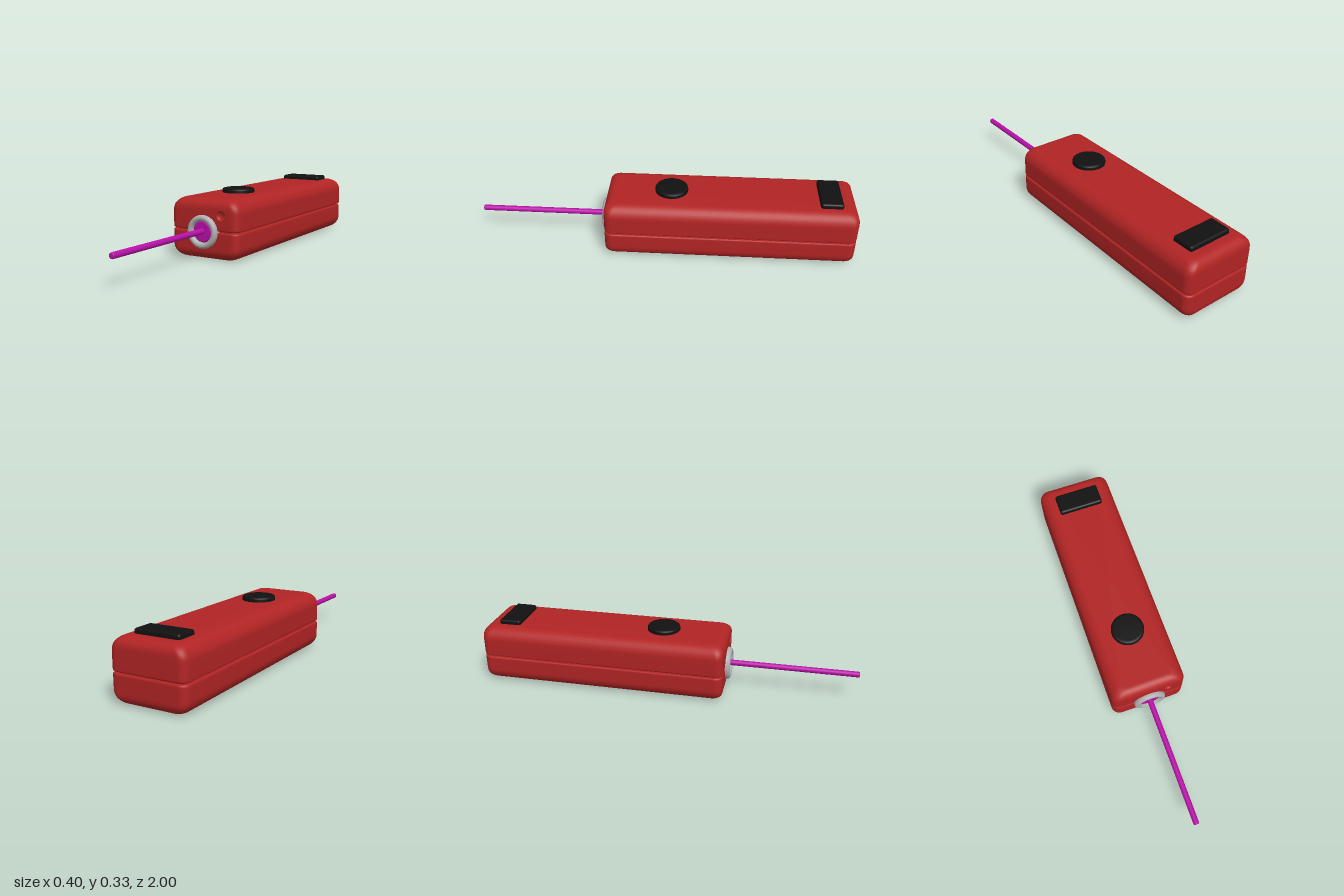
import * as THREE from 'three';
import { RoundedBoxGeometry } from 'three/addons/geometries/RoundedBoxGeometry.js';

const HX = 0.2, HZ = 0.655, CZ = -0.345, TOP = 0.31, FRONT = 0.31, CORNER = 0.04;

const mat = (name, color) => {
  const m = new THREE.MeshStandardMaterial({ color });
  m.name = name;
  return m;
};

// Rounded rectangle in plan, with two extra points on the front edge around the dimple
function planOutline() {
  const pts = [];
  [[1, 1], [-1, 1], [-1, -1], [1, -1]].forEach(([sx, sz], k) => {
    for (let i = 0; i <= 8; i++) {
      const a = (k + i / 8) * Math.PI / 2;
      pts.push([sx * (HX - CORNER) + CORNER * Math.cos(a), sz * (HZ - CORNER) + CORNER * Math.sin(a)]);
    }
    if (k === 0) pts.push([0.14, HZ], [0.07, HZ]);
  });
  return pts;
}

// Stack the outline along rows of [y, inset in x, inset in z]
function loft(rows, flat = false) {
  const outline = planOutline(), n = outline.length, pos = [], all = [], kept = [];
  for (const [y, ix, iz] of rows)
    for (const [x, z] of outline) pos.push(x * (1 - ix / HX), y, CZ + z * (1 - iz / HZ));
  for (let j = 0; j < rows.length - 1; j++)
    for (let i = 0; i < n; i++) {
      const a = j * n + i, b = j * n + (i + 1) % n, c = a + n, d = b + n;
      const quad = [a, c, b, b, c, d];
      all.push(...quad);
      // leave an opening for the dimple plate
      const open = i === 9 && rows[j][0] > 0.199 && rows[j][0] < 0.2595;
      if (!open) kept.push(...quad);
    }
  let g = new THREE.BufferGeometry();
  g.setAttribute('position', new THREE.Float32BufferAttribute(pos, 3));
  g.setIndex(all);
  if (flat) g = g.toNonIndexed();
  g.computeVertexNormals();
  if (!flat) g.setIndex(kept);
  return g;
}

// Inset of a rounded edge of radius r at depth d from the face
const inset = (d, r) => (d < r ? r - Math.sqrt(r * r - (r - d) ** 2) : 0);

// Lathe turned to point along +z
const latheZ = (points, segments = 48) =>
  new THREE.LatheGeometry(points.map(p => new THREE.Vector2(...p)), segments).rotateX(Math.PI / 2);

export function createModel() {
  const model = new THREE.Group();
  model.name = 'handheldPointer';
  const red = mat('red casing', 0xb22424);
  const black = mat('black rubber', 0x111111);
  const grey = mat('grey metal', 0xb0b0b0);
  const magenta = mat('magenta beam', 0xb910a8);

  const add = (name, geometry, material, x = 0, y = 0, z = 0) => {
    const mesh = new THREE.Mesh(geometry, material);
    mesh.name = name;
    mesh.position.set(x, y, z);
    model.add(mesh);
    return mesh;
  };

  // Two casing halves with a recessed seam between them
  const depths = [0, 0.001, 0.003, 0.007, 0.012, 0.019, 0.028, 0.038, 0.05, 0.06, 0.07];
  const edge = depths.map(d => [d, inset(d, 0.07), inset(d, 0.05)]);
  add('lowerCasing', loft([
    [0, HX, HZ], ...edge, [0.13, 0, 0], [0.136, 0, 0], [0.14, 0.001, 0.001], [0.143, 0.004, 0.004],
  ]), red);
  add('upperCasing', loft([
    [0.151, 0.004, 0.004], [0.154, 0.001, 0.001], [0.158, 0, 0], [0.164, 0, 0], [0.2, 0, 0],
    ...edge.map(([d, ix, iz]) => [TOP - d, ix, iz]).reverse(), [TOP, HX, HZ],
  ]), red);
  add('casingSeam', loft([
    [0.143, 0.004, 0.004], [0.143, 0.02, 0.018], [0.151, 0.02, 0.018], [0.151, 0.004, 0.004],
  ], true), red);

  // Front plate with a small round dimple
  const plate = new THREE.Shape([[0.069, 0.2], [0.1405, 0.2], [0.1405, 0.26], [0.069, 0.26]]
    .map(p => new THREE.Vector2(...p)));
  plate.holes.push(new THREE.Path().absarc(0.105, 0.231, 0.025, 0, Math.PI * 2, true));
  add('dimplePlate', new THREE.ShapeGeometry(plate, 24), red, 0, 0, FRONT);
  add('dimple', latheZ([[0.025, 0], [0.023, -0.005], [0.018, -0.009], [0.01, -0.012], [0, -0.013]]),
    red, 0.105, 0.231, FRONT);

  // Nozzle ring, lens and beam
  add('nozzleRing', latheZ([
    [0.086, -0.03], [0.086, 0.01], [0.084, 0.017], [0.079, 0.022], [0.071, 0.025],
    [0.063, 0.022], [0.057, 0.016], [0.055, 0.01], [0.055, -0.03],
  ]), grey, 0, 0.143, FRONT);
  add('lens', latheZ([[0.054, -0.02], [0.054, 0.006], [0.051, 0.01], [0.046, 0.011], [0, 0.011]]),
    magenta, 0, 0.144, FRONT);
  add('beam', latheZ([
    [0.015, 0], [0.015, 0.684], [0.0135, 0.688], [0.011, 0.69], [0, 0.69],
  ], 24), magenta, 0, 0.147, FRONT);

  // Round button and rear slider on the top
  const button = [[0.087, -0.02], [0.087, 0.012], [0.085, 0.018], [0.08, 0.022], [0.07, 0.024], [0, 0.024]];
  add('roundButton', new THREE.LatheGeometry(button.map(p => new THREE.Vector2(...p)), 48),
    black, 0, TOP, -0.035);
  add('rearButton', new RoundedBoxGeometry(0.242, 0.05, 0.116, 4, 0.012), black, 0, 0.309, -0.863);

  return model;
}
